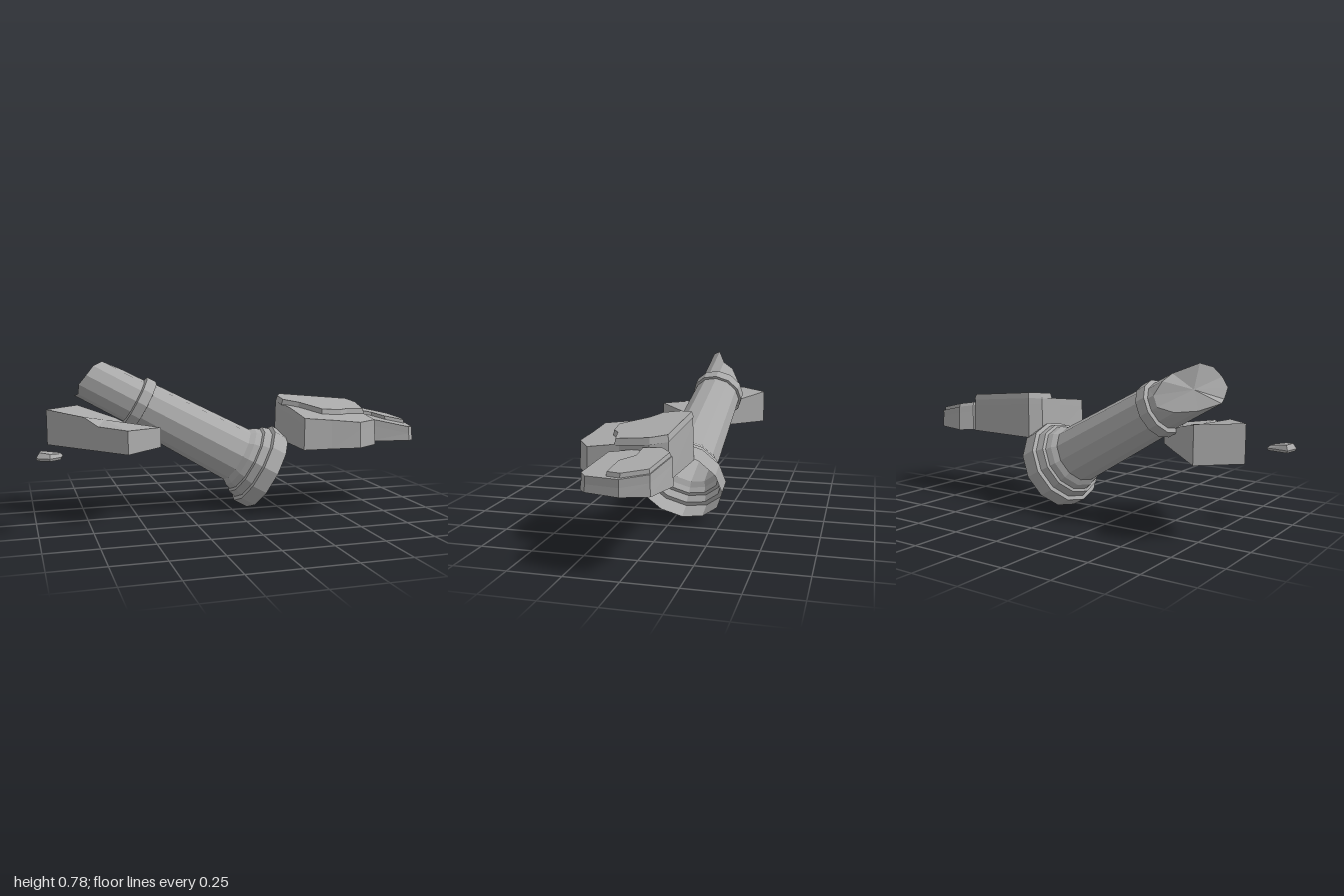
import * as THREE from 'three';

const stone = new THREE.MeshStandardMaterial({ color: 0xaaaaaa, flatShading: true, side: THREE.DoubleSide });
stone.name = 'grey stone';

// Skin over rings of [x, y, z] points (counterclockwise from above); the last ring is capped, the first is open
function loft(name, rings, capLift = 0) {
  const pos = [];
  const tri = (a, b, c) => pos.push(...a, ...b, ...c);
  const n = rings[0].length;
  for (let k = 0; k < rings.length - 1; k++) {
    const a = rings[k], b = rings[k + 1];
    for (let i = 0; i < n; i++) {
      const j = (i + 1) % n;
      tri(a[i], a[j], b[j]);
      tri(a[i], b[j], b[i]);
    }
  }
  const top = rings[rings.length - 1];
  const c = [0, 1, 2].map(d => top.reduce((s, p) => s + p[d], 0) / n);
  c[1] += capLift;
  for (let i = 0; i < n; i++) tri(c, top[i], top[(i + 1) % n]);
  const g = new THREE.BufferGeometry();
  g.setAttribute('position', new THREE.Float32BufferAttribute(pos, 3));
  g.computeVertexNormals();
  const mesh = new THREE.Mesh(g, stone);
  mesh.name = name;
  return mesh;
}

// Lift a plan outline [x, z] to a height rule, scaled about its middle
function ring(outline, height, scale = 1) {
  const n = outline.length;
  const cx = outline.reduce((s, p) => s + p[0], 0) / n;
  const cz = outline.reduce((s, p) => s + p[1], 0) / n;
  return outline.map(([x, z]) => {
    const X = cx + (x - cx) * scale, Z = cz + (z - cz) * scale;
    return [X, typeof height === 'function' ? height(X, Z) : height, Z];
  });
}

// Hollow twelve-sided column with moulded base, collar and a slanted broken end
function brokenColumn() {
  const profile = [
    [0.222, 0], [0.222, 0.08], [0.202, 0.085], [0.192, 0.125], [0.177, 0.13],
    [0.167, 0.16], [0.148, 0.185], [0.126, 0.735], [0.139, 0.737], [0.138, 0.79], [0.117, 0.795],
  ];
  const brokenEnd = [0.91, 0.88, 0.83, 0.83, 0.89, 0.98, 1.07, 1.06, 1.08, 1.07, 1.06, 1.03];
  const point = (r, t, i) => {
    const a = i * Math.PI / 6;
    return [r * Math.cos(a), t, -r * Math.sin(a)];
  };
  const rings = profile.map(([r, t]) => brokenEnd.map((_, i) => point(r, t, i)));
  rings.push(brokenEnd.map((t, i) => point(0.114, t, i)));
  const column = loft('brokenColumn', rings);
  const axis = new THREE.Vector3(-0.874, 0.486, -0.083).normalize();
  column.quaternion.setFromUnitVectors(new THREE.Vector3(0, 1, 0), axis);
  column.position.set(0.2, 0.207, -0.045);
  return column;
}

// Boulder: open-bottomed body, with a thin raised layer over its rear half
function boulder(name, body, layer, height, drop, foot) {
  const g = new THREE.Group();
  g.name = name;
  const ledge = (x, z) => height(x, z) - drop;
  g.add(loft(name + 'Body', [
    ring(body, 0.367, foot),
    ring(body, (x, z) => ledge(x, z) - 0.035, 0.985),
    ring(body, ledge, 0.98),
  ]));
  g.add(loft(name + 'RaisedLayer', [
    ring(layer, (x, z) => ledge(x, z) - 0.005),
    ring(layer, height, 0.96),
  ]));
  return g;
}

export function createModel() {
  const model = new THREE.Group();
  model.name = 'columnRuin';
  model.add(brokenColumn());

  // Large boulder
  model.add(boulder('largeBoulder',
    [[0.26, -0.08], [0.28, 0.1], [0.275, 0.31], [0.42, 0.315], [0.57, 0.328], [0.69, 0.25],
      [0.69, 0.1], [0.725, -0.05], [0.7, -0.13], [0.3, -0.145]],
    [[0.265, -0.08], [0.265, 0.01], [0.34, 0.06], [0.42, 0.19], [0.53, 0.18], [0.58, 0.145],
      [0.69, 0.12], [0.725, -0.05], [0.7, -0.128], [0.3, -0.143]],
    (x, z) => 0.602 - 0.09 * (x - 0.28) - 0.13 * (z + 0.1), 0.025, 1));

  // Small boulder
  model.add(boulder('smallBoulder',
    [[0.72, -0.12], [0.695, 0.02], [0.715, 0.14], [0.92, 0.19], [0.955, 0.16], [0.995, 0.0],
      [0.955, -0.12], [0.78, -0.168]],
    [[0.725, -0.11], [0.72, -0.02], [0.8, -0.015], [0.85, 0.05], [0.96, 0.065], [0.98, 0.0],
      [0.945, -0.115], [0.78, -0.16]],
    (x, z) => 0.522 - 0.2 * (x - 0.74) - 0.08 * (z + 0.16), 0.018, 1.01));

  // Wedge slab under the column: high rear end, low front end
  const slab = [[-0.925, -0.17], [-0.76, 0.03], [-0.7, 0.1], [-0.58, 0.245],
    [-0.39, 0.07], [-0.52, -0.075], [-0.585, -0.145], [-0.755, -0.33]];
  const heights = [0.555, 0.535, 0.495, 0.49, 0.475, 0.475, 0.505, 0.555];
  model.add(loft('wedgeSlab', [
    ring(slab, 0.376),
    slab.map(([x, z], i) => [x, heights[i], z]),
  ]));

  // Pebble
  const pebble = [[-0.985, 0.18], [-1, 0.26], [-0.94, 0.295], [-0.885, 0.255], [-0.875, 0.2]];
  model.add(loft('pebble', [
    ring(pebble, 0.373, 0.9),
    ring(pebble, 0.385),
    ring(pebble, x => 0.405 - 0.12 * (x + 0.94), 0.75),
  ]));
  return model;
}
